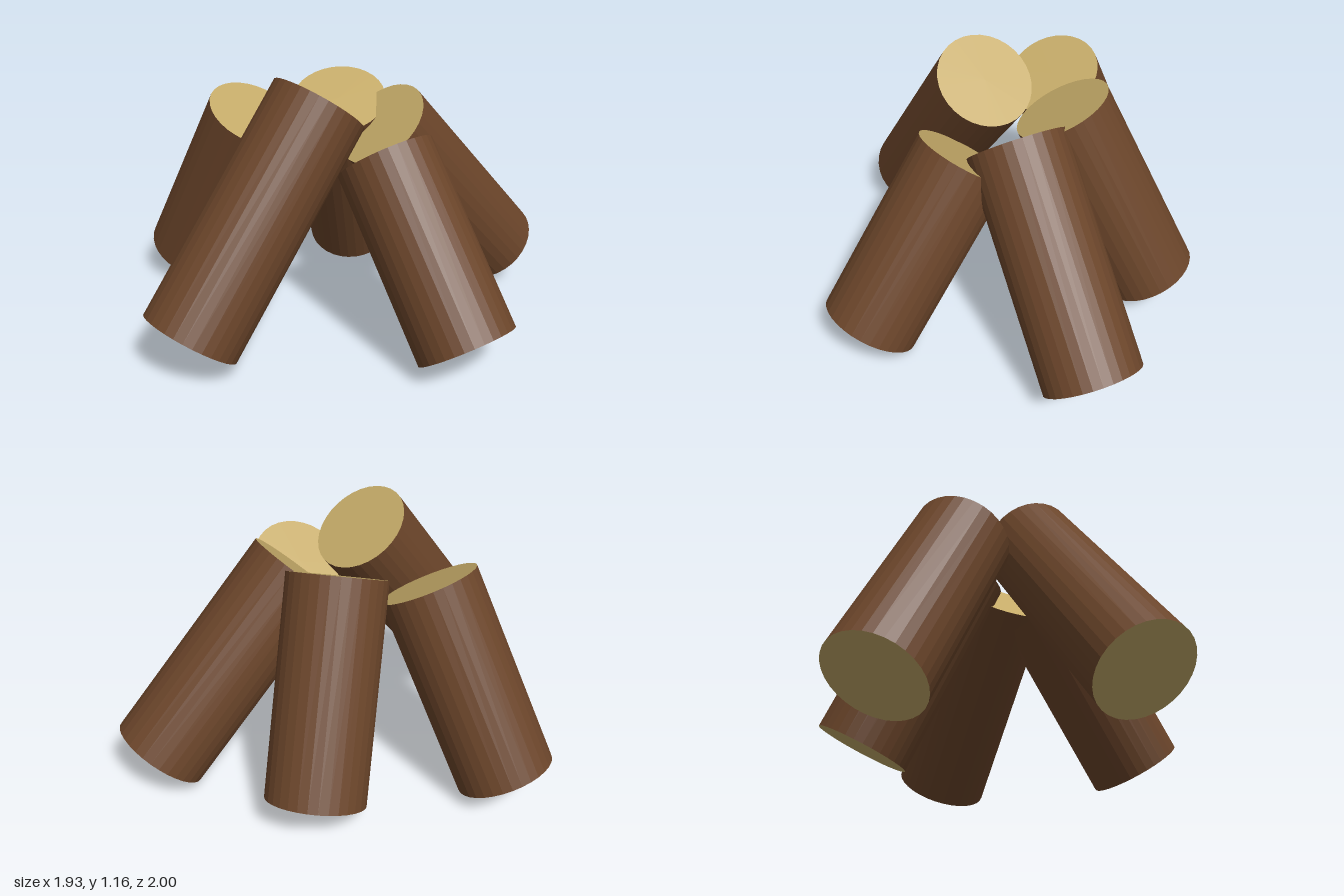
import * as THREE from 'three';

const RADIUS = 0.215;

// Centres of the lower and upper cut faces of each log
const LOGS = [
  { name: 'frontLog', bottom: [0.05, 0.165, 0.83], top: [0.05, 1.03, 0.145] },
  { name: 'leftLog', bottom: [0.79, 0.14, -0.025], top: [0.275, 0.82, -0.025] },
  { name: 'backLog', bottom: [0.205, 0.15, -0.84], top: [0.105, 0.895, -0.16] },
  { name: 'rightLog', bottom: [-0.78, 0.118, 0.31], top: [-0.353, 0.9, 0.195] },
  { name: 'backRightLog', bottom: [-0.44, 0.12, -0.458], top: [-0.155, 0.955, -0.13] },
];

export function createModel() {
  const group = new THREE.Group();
  group.name = 'logPile';
  const bark = new THREE.MeshStandardMaterial({ color: 0x6b452a, flatShading: true });
  const cutWood = new THREE.MeshStandardMaterial({ color: 0xc4aa68, flatShading: true });

  // Each log is a cylinder leaning from its lower to its upper centre
  for (const { name, bottom, top } of LOGS) {
    const a = new THREE.Vector3(...bottom);
    const b = new THREE.Vector3(...top);
    const axis = b.clone().sub(a);
    const log = new THREE.Mesh(
      new THREE.CylinderGeometry(RADIUS, RADIUS, axis.length(), 32),
      [bark, cutWood, cutWood], // side, upper cut, lower cut
    );
    log.name = name;
    log.position.copy(a).lerp(b, 0.5);
    log.quaternion.setFromUnitVectors(new THREE.Vector3(0, 1, 0), axis.normalize());
    group.add(log);
  }
  return group;
}
